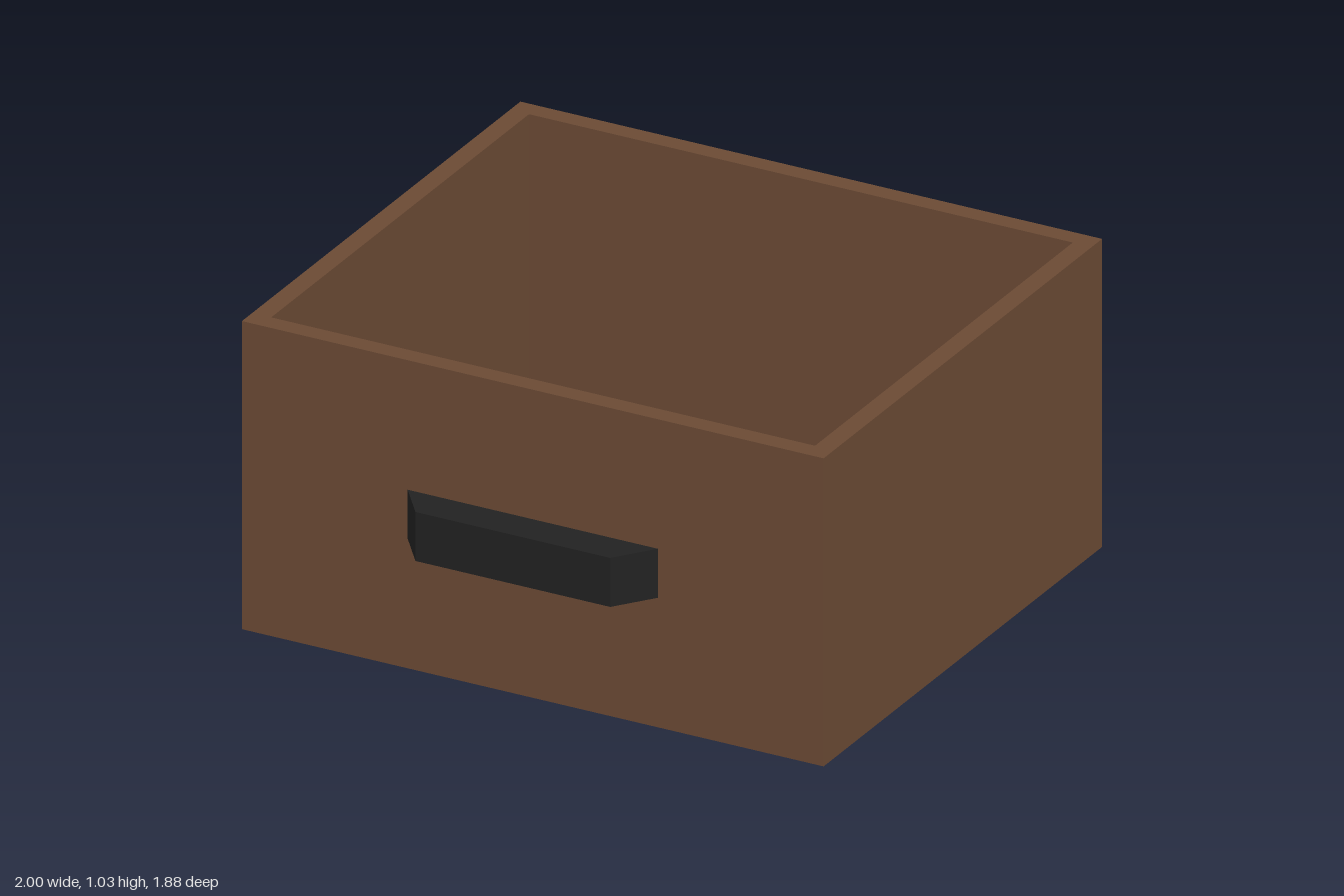
import * as THREE from 'three';

const BACK = -0.94, FRONT = 0.81, HEIGHT = 1.03, WALL = 0.065, FLOOR = 0.14;

// Closed shape from [x, y] pairs
const polygon = (points) => new THREE.Shape(points.map(([x, y]) => new THREE.Vector2(x, y)));
const rectangle = (x, y0, y1) => polygon([[-x, y0], [x, y0], [x, y1], [-x, y1]]);

// Extrudes a floor-plan shape (x, -z) upward from y
function extrudeUp(shape, y, height) {
  const geometry = new THREE.ExtrudeGeometry(shape, { depth: height, bevelEnabled: false });
  return geometry.rotateX(-Math.PI / 2).translate(0, y, 0);
}

export function createModel() {
  const wood = new THREE.MeshStandardMaterial({ color: 0x6b4a34 });
  wood.name = 'brown wood';
  const black = new THREE.MeshStandardMaterial({ color: 0x222222 });
  black.name = 'black handle';

  const group = new THREE.Group();
  group.name = 'drawer';
  const add = (name, geometry, material) => {
    const mesh = new THREE.Mesh(geometry, material);
    mesh.name = name;
    group.add(mesh);
  };

  // Four walls as one frame
  const frame = rectangle(1, -FRONT, -BACK);
  const inner = rectangle(1 - WALL, -FRONT + WALL, -BACK - WALL);
  frame.holes.push(new THREE.Path(inner.getPoints().reverse()));
  add('walls', extrudeUp(frame, 0, HEIGHT), wood);

  // Floor panel inside the frame
  add('floor', extrudeUp(inner, 0, FLOOR), wood);

  // Solid handle with slanted ends
  const grip = polygon([[-0.335, -0.935], [0.335, -0.935], [0.43, -FRONT], [-0.43, -FRONT]]);
  add('handle', extrudeUp(grip, 0.433, 0.164), black);

  return group;
}
